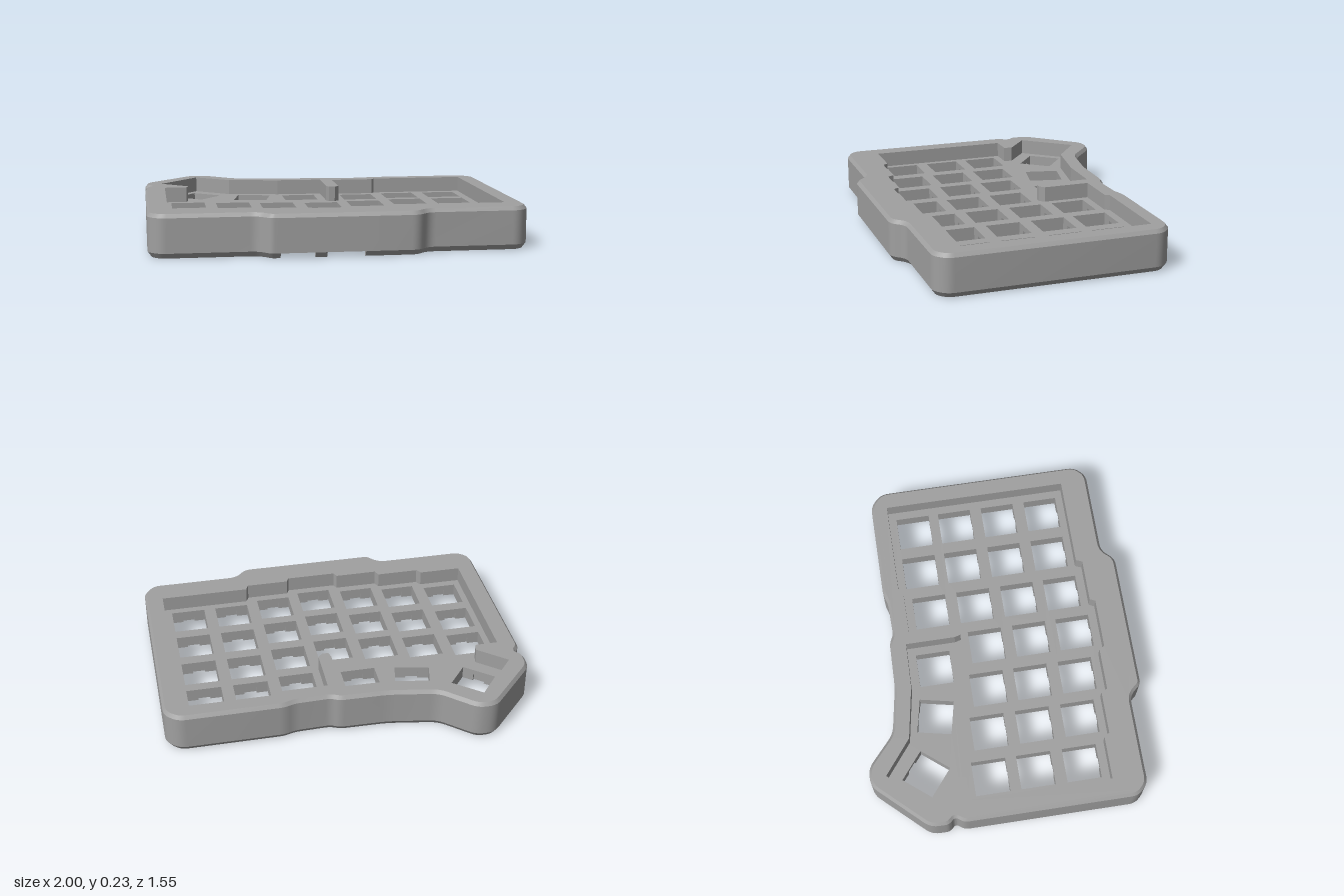
import * as THREE from 'three';
import { toCreasedNormals } from 'three/addons/utils/BufferGeometryUtils.js';

const TOP = 0.23, PLATE_TOP = 0.145, PLATE_MID = 0.115, PLATE_LOW = 0.075;

// Outer outline as [x, z, corner cut]; a cut of 0 keeps the point as is
const OUTLINE = [
  [-1, .64], [-.94, .70], [-.44, .70], [-.38, .77],
  [-.33, .77, 0], [-.15, .77, 0], [-.09, .77, 0], [.11, .77, 0],
  [.39, .77], [.45, .70], [.94, .70], [1, .64], [1, -.51], [.93, -.575],
  [.37, -.575], [.31, -.555], [.12, -.55], [.07, -.575], [-.19, -.58],
  [-.455, -.625], [-.63, -.78], [-.73, -.78], [-1, -.49], [-1, -.39],
  [-.965, -.355], [-1, -.31],
];

// Key well outline, with a divider running in from the back
const WELL = [
  [-.89, .515], [-.655, .515], [-.635, .545], [-.40, .545], [-.385, .58],
  [-.15, .58], [-.135, .61], [.14, .61], [.155, .58], [.39, .58], [.405, .545],
  [.90, .545], [.90, -.485], [.375, -.485], [.36, -.46], [.115, -.46],
  [.115, -.20], [.09, -.175], [.055, -.175], [.045, -.21], [.045, -.485],
  [-.21, -.49], [-.50, -.54], [-.69, -.69], [-.905, -.435], [-.755, -.31],
  [-.765, -.265], [-.89, -.265],
];

// Key columns: x, then the z of each key
const COLUMNS = [
  [-.76, -.13, .12, .375], [-.505, -.1, .155, .41], [-.255, -.065, .185, .44],
  [0, -.035, .22, .47], [.25, -.32, -.065, .19, .44],
  [.505, -.345, -.1, .155, .41], [.76, -.345, -.1, .155, .41],
];
// Thumb keys: x, z, angle in degrees
const THUMBS = [[-.095, -.345, 0], [-.375, -.38, 12], [-.69, -.475, 39]];

// Cable notches under the front wall
const NOTCHES = [[-.33, -.15], [-.09, .11]];

const v2 = ([x, z]) => new THREE.Vector2(x, z);

function roundCorners(points) {
  const out = [], n = points.length;
  points.forEach((raw, i) => {
    const p = v2(raw), a = v2(points[(i + n - 1) % n]), b = v2(points[(i + 1) % n]);
    if (raw[2] === 0) { out.push(p); return; }
    const cut = Math.min(.045, .44 * p.distanceTo(a), .44 * p.distanceTo(b));
    const start = p.clone().add(a.sub(p).setLength(cut));
    const end = p.clone().add(b.sub(p).setLength(cut));
    out.push(...new THREE.QuadraticBezierCurve(start, p, end).getPoints(5));
  });
  return out;
}

// Move every point of a loop inward by d
function inset(loop, d) {
  const n = loop.length;
  return loop.map((p, i) => {
    const t1 = p.clone().sub(loop[(i + n - 1) % n]).normalize();
    const t2 = loop[(i + 1) % n].clone().sub(p).normalize();
    const m = new THREE.Vector2(t1.y + t2.y, -t1.x - t2.x).normalize();
    return p.clone().addScaledVector(m, d / (m.x * t1.y - m.y * t1.x));
  });
}

// Flat slab from an x-z outline, between two heights
function slab(outline, holes, low, high) {
  const shape = new THREE.Shape(outline);
  shape.holes = holes.map((h) => new THREE.Path(h));
  const geo = new THREE.ExtrudeGeometry(shape, { depth: high - low, bevelEnabled: false });
  return geo.rotateX(Math.PI / 2).translate(0, high, 0);
}

// Wall cross-section swept round the outline, open at the notches
function wallGeometry(loop) {
  const notchTop = .028;
  const section = [[.045, PLATE_LOW], [.045, notchTop], [.045, 0], [.02, 0],
    [0, notchTop], [0, TOP - .02], [.015, TOP]];
  const rings = section.map(([d, y]) =>
    inset(loop, d).map((p) => new THREE.Vector3(p.x, y, p.y)));
  const pos = [];
  const quad = (a, b, c, d) => [a, b, c, a, c, d].forEach((p) => pos.push(p.x, p.y, p.z));
  const n = loop.length;
  for (let i = 0; i < n; i++) {
    const k = (i + 1) % n, mid = (loop[i].x + loop[k].x) / 2;
    const open = loop[i].y > .76 && loop[k].y > .76 &&
      NOTCHES.some(([a, b]) => mid > a && mid < b);
    for (let j = 0; j < section.length - 1; j++) {
      if (open && j >= 1 && j <= 3) continue;
      quad(rings[j][i], rings[j][k], rings[j + 1][k], rings[j + 1][i]);
    }
    if (open) {
      // Notch roof and its two ends
      quad(rings[1][i], rings[1][k], rings[4][k], rings[4][i]);
      quad(rings[1][i], rings[4][i], rings[3][i], rings[2][i]);
      quad(rings[4][k], rings[1][k], rings[2][k], rings[3][k]);
    }
  }
  const geo = new THREE.BufferGeometry();
  geo.setAttribute('position', new THREE.Float32BufferAttribute(pos, 3));
  return toCreasedNormals(geo, .5);
}

// Square key opening, optionally with clip recesses front and back
function keyHole([x, z, deg], clips) {
  const h = .095, w = .033, e = h + .014;
  const pts = clips
    ? [[-h, -h], [-w, -h], [-w, -e], [w, -e], [w, -h], [h, -h],
      [h, h], [w, h], [w, e], [-w, e], [-w, h], [-h, h]]
    : [[-h, -h], [h, -h], [h, h], [-h, h]];
  const c = new THREE.Vector2(x, z), o = new THREE.Vector2();
  return pts.map((p) => v2(p).rotateAround(o, deg * Math.PI / 180).add(c));
}

export function createModel() {
  const group = new THREE.Group();
  group.name = 'keyboardCase';
  const grey = new THREE.MeshStandardMaterial({ color: 0xa0a0a0, side: THREE.DoubleSide });
  grey.name = 'grey plastic';

  const add = (name, geo) => {
    const mesh = new THREE.Mesh(geo, grey);
    mesh.name = name;
    group.add(mesh);
  };

  const loop = roundCorners(OUTLINE);
  const keys = [...THUMBS];
  for (const [x, ...zs] of COLUMNS) zs.forEach((z) => keys.push([x, z, 0]));

  add('outerWall', wallGeometry(loop));
  add('topFrame', slab(inset(loop, .015), [WELL.map(v2)], PLATE_TOP - .005, TOP));

  // Key plate in two layers, the lower one with clip recesses
  const plate = inset(loop, .03);
  add('keyPlate', slab(plate, keys.map((k) => keyHole(k, false)), PLATE_MID, PLATE_TOP));
  add('keyPlateUnderside', slab(plate, keys.map((k) => keyHole(k, true)), PLATE_LOW, PLATE_MID));
  return group;
}
